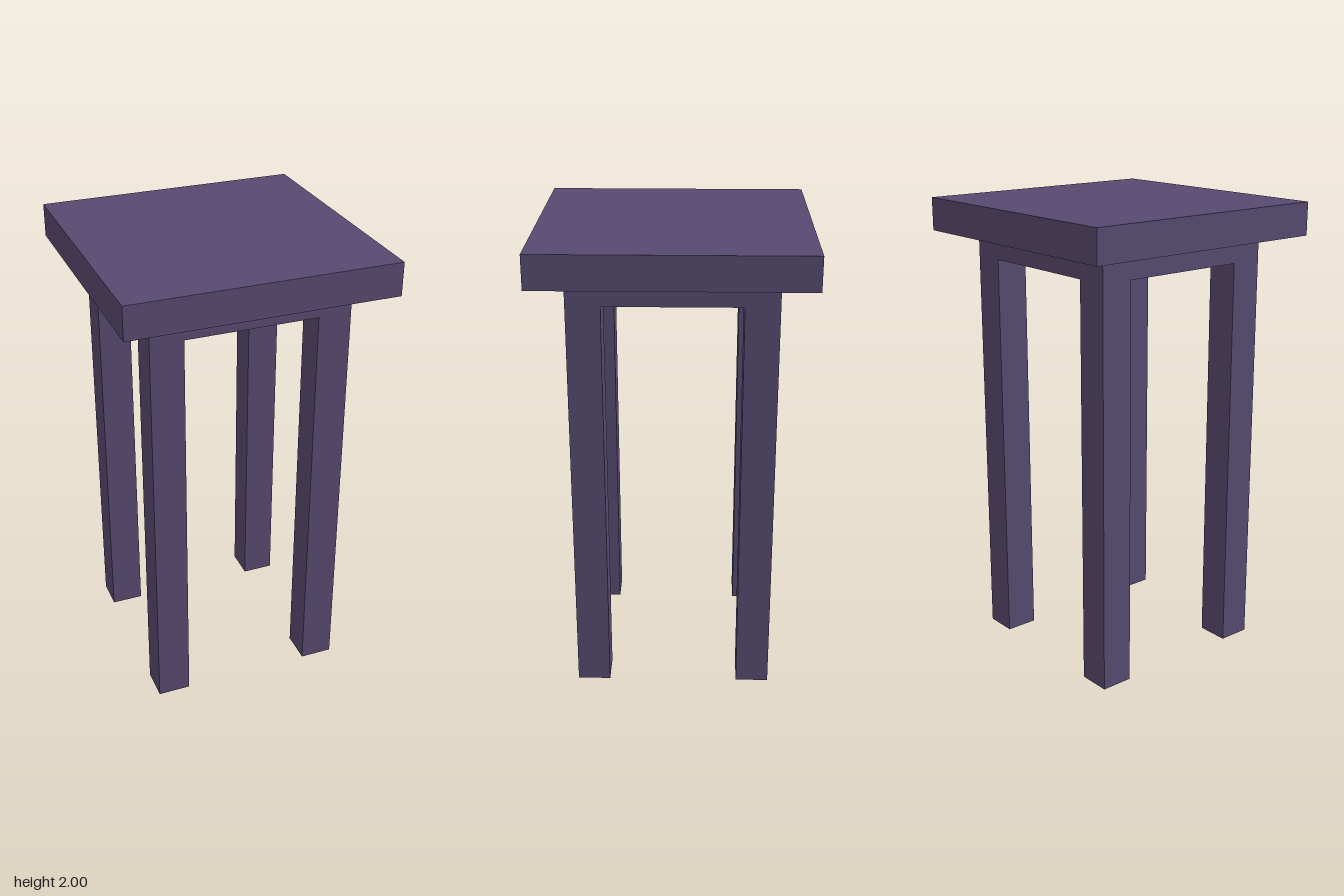
import * as THREE from 'three';

export function createModel() {
  const group = new THREE.Group();
  const material = new THREE.MeshStandardMaterial({ color: 0x56496f });

  const seatWidth = 1.132, seatBase = 1.8585, leg = 0.1415;
  const legCentre = 0.354, apronHeight = 0.106;

  function box(name, w, h, d, x, y, z) {
    const mesh = new THREE.Mesh(new THREE.BoxGeometry(w, h, d), material);
    mesh.name = name;
    mesh.position.set(x, y, z);
    group.add(mesh);
  }

  // Square seat slab
  box('seat', seatWidth, 2 - seatBase, seatWidth, 0, (2 + seatBase) / 2, 0);

  // Four legs, one at each corner
  for (const [side, x] of [['Left', legCentre], ['Right', -legCentre]]) {
    for (const [end, z] of [['front', legCentre], ['back', -legCentre]]) {
      box(`${end}${side}Leg`, leg, seatBase, leg, x, seatBase / 2, z);
    }
  }

  // Apron rails between the legs, flush with their faces
  const span = 2 * legCentre - leg, apronY = seatBase - apronHeight / 2;
  for (const s of [1, -1]) {
    box(s > 0 ? 'frontApron' : 'backApron', span, apronHeight, leg, 0, apronY, s * legCentre);
    box(s > 0 ? 'leftApron' : 'rightApron', leg, apronHeight, span, s * legCentre, apronY, 0);
  }

  return group;
}
